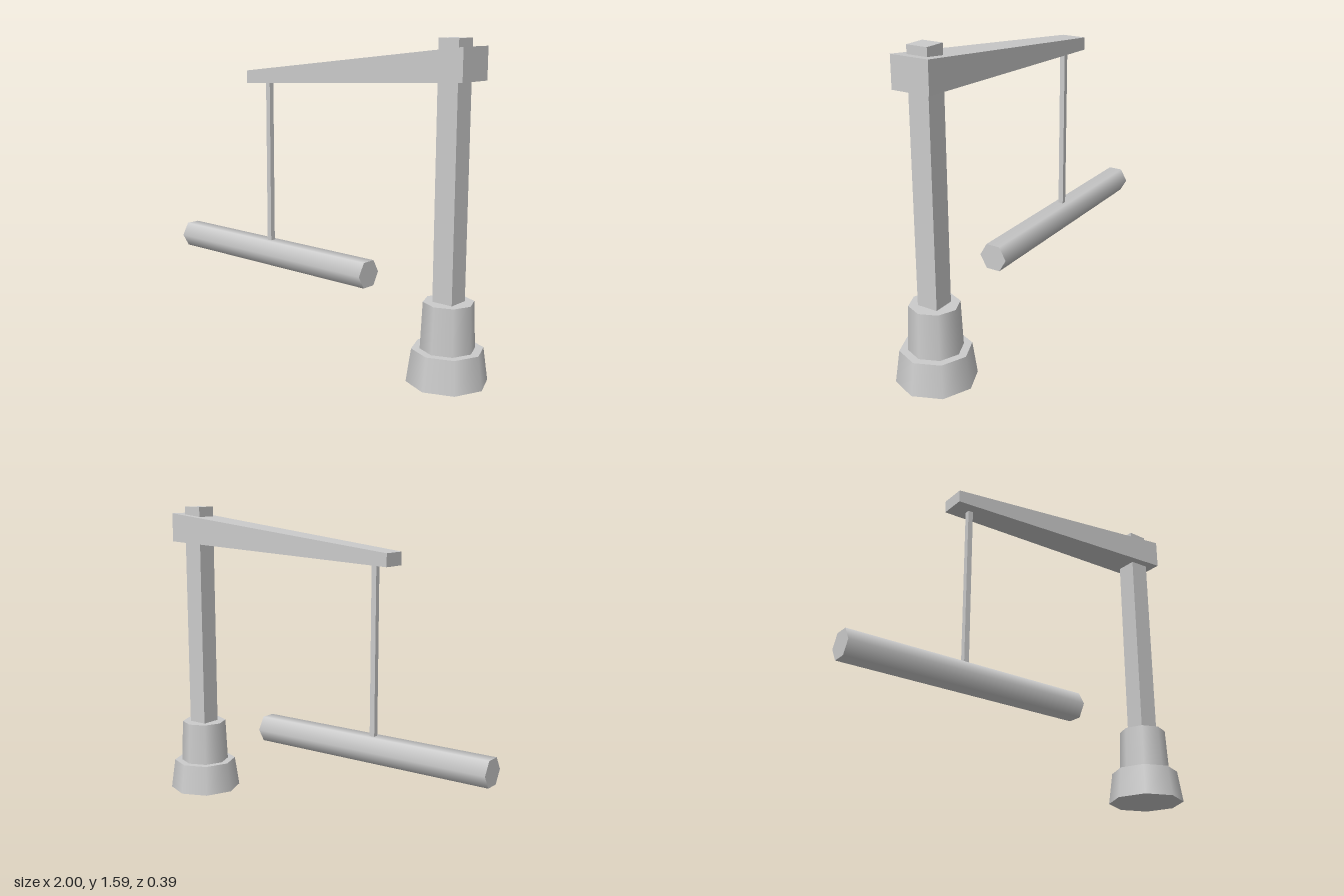
import * as THREE from 'three';

export function createModel() {
  const model = new THREE.Group();
  const material = new THREE.MeshStandardMaterial({ color: 0xcccccc });

  const add = (name, geometry, x, y, z = 0) => {
    const mesh = new THREE.Mesh(geometry, material);
    mesh.name = name;
    mesh.position.set(x, y, z);
    model.add(mesh);
    return mesh;
  };

  // Stepped eight-sided base
  const postX = 0.802;
  add('baseFoot', new THREE.CylinderGeometry(0.17, 0.193, 0.16, 8), postX, 0.08);
  add('baseCollar', new THREE.CylinderGeometry(0.12, 0.13, 0.225, 8), postX, 0.2725);

  // Square post, its top standing proud of the beam
  add('post', new THREE.BoxGeometry(0.107, 1.285, 0.107), postX, 0.9425);

  // Beam tapering in height and width towards the free end
  const beam = new THREE.BoxGeometry(1, 1, 1);
  const p = beam.attributes.position;
  for (let i = 0; i < p.count; i++) {
    const thick = p.getX(i) > 0;
    const top = p.getY(i) > 0;
    const halfWidth = thick ? 0.098 : 0.065;
    p.setXYZ(
      i,
      thick ? 0.908 : -0.455,
      thick ? (top ? 1.55 : 1.398) : (top ? 1.395 : 1.33),
      Math.sign(p.getZ(i)) * halfWidth
    );
  }
  const flatBeam = beam.toNonIndexed();
  flatBeam.computeVertexNormals();
  add('beam', flatBeam, 0, 0);

  // Thin hanger and the six-sided log it carries
  add('hanger', new THREE.BoxGeometry(0.027, 0.88, 0.027), -0.351, 0.91);
  const log = add('hangingLog', new THREE.CylinderGeometry(0.075, 0.075, 1.327, 6), -0.3365, 0.423);
  log.rotation.z = Math.PI / 2;

  return model;
}
